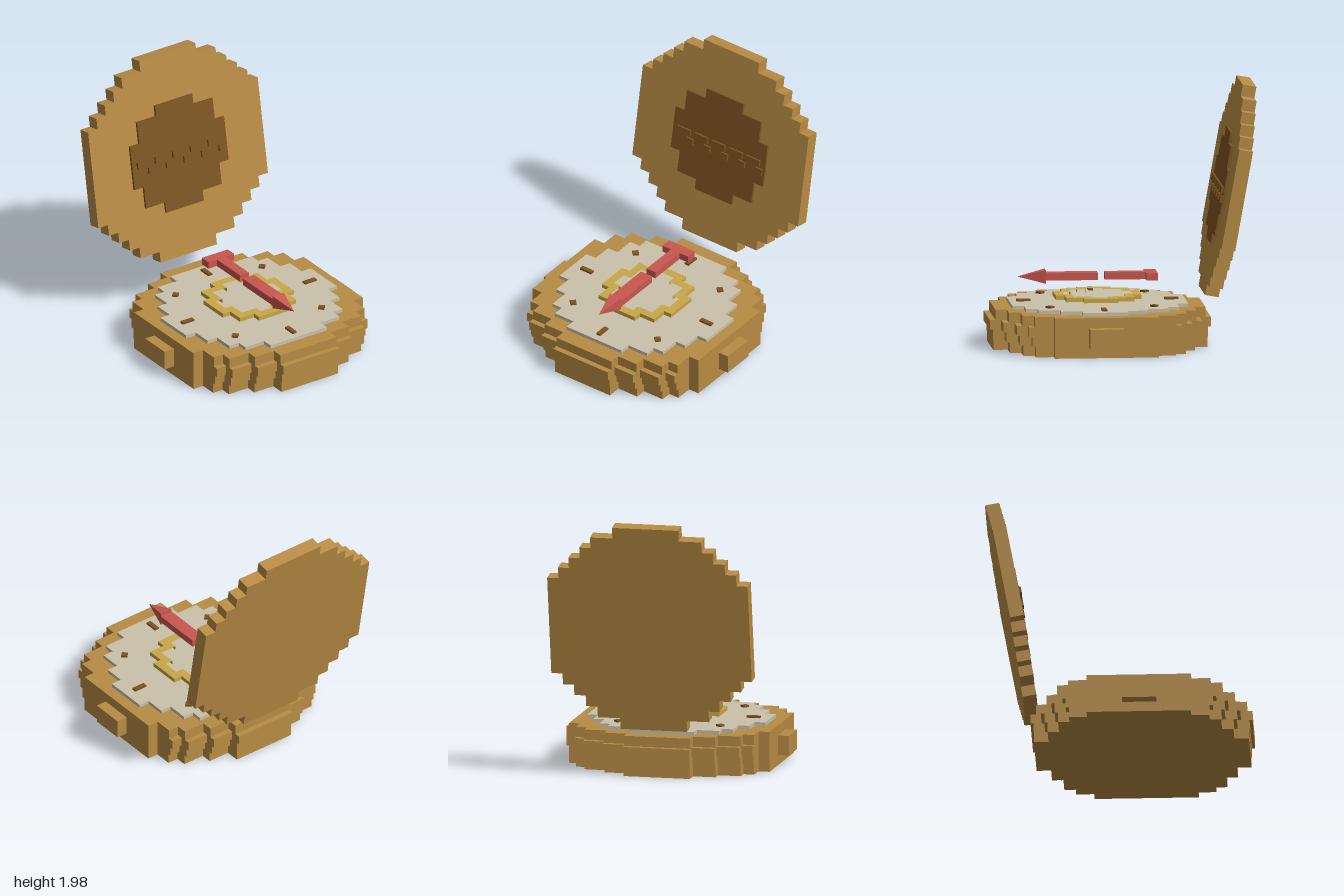
import * as THREE from 'three';

const mat = (name, color) => {
  const m = new THREE.MeshStandardMaterial({ color });
  m.name = name;
  return m;
};

// Stepped outline from [halfWidth, halfDepth] pairs, mirrored into all four quadrants
function steppedPoints(steps) {
  const q = [];
  steps.forEach(([w, d], i) => {
    q.push([w, d]);
    if (i < steps.length - 1) q.push([w, steps[i + 1][1]]);
  });
  const r = [...q].reverse();
  return [
    ...q,
    ...r.map(([x, y]) => [x, -y]),
    ...q.map(([x, y]) => [-x, -y]),
    ...r.map(([x, y]) => [-x, y]),
  ].map(([x, y]) => new THREE.Vector2(x, y));
}

// Upright slab of the stepped outline, thickness along z from 0
function slab(steps, depth, hole) {
  const shape = new THREE.Shape(steppedPoints(steps));
  if (hole) shape.holes.push(new THREE.Path(steppedPoints(hole)));
  return new THREE.ExtrudeGeometry(shape, { depth, bevelEnabled: false });
}

// Flat slab lying between two heights
const flatSlab = (steps, y0, y1, hole) =>
  slab(steps, y1 - y0, hole).rotateX(-Math.PI / 2).translate(0, y0, 0);

export function createModel() {
  const wood = mat('golden wood', 0xb88c44);
  const dark = mat('dark wood', 0x7d5320);
  const cream = mat('dial cream', 0xcac1aa);
  const gold = mat('ring gold', 0xc9a848);
  const red = mat('needle red', 0xc9574f);

  const model = new THREE.Group();
  model.name = 'compass';
  const add = (parent, name, geo, material, x = 0, y = 0, z = 0) => {
    const m = new THREE.Mesh(geo, material);
    m.name = name;
    m.position.set(x, y, z);
    parent.add(m);
    return m;
  };
  const box = (parent, name, material, w, h, d, x, y, z) =>
    add(parent, name, new THREE.BoxGeometry(w, h, d), material, x, y, z);

  // Case: stacked stepped layers, widest in the third layer
  const base = new THREE.Group();
  base.name = 'base';
  base.position.z = 0.167;
  model.add(base);
  const caseSteps = [[0.255, 0.83], [0.427, 0.745], [0.6, 0.66], [0.684, 0.575], [0.77, 0.39]];
  const layers = [
    [0, 0.08, 0.026, 0.05],
    [0.08, 0.153, 0.022, 0.025],
    [0.153, 0.226, 0, 0],
    [0.226, 0.303, 0.042, 0.042],
  ];
  for (const [y0, y1, endInset, inset] of layers) {
    const steps = caseSteps.map(([w, d], i) => [w, d - (i === 0 ? endInset : i === 4 ? 0 : inset)]);
    add(base, 'caseLayer', flatSlab(steps, y0, y1), wood);
  }
  for (const s of [-1, 1]) box(base, 'sideKnob', wood, 0.1, 0.148, 0.256, s * 0.804, 0.152, 0.005);

  // Dial face and floating ring
  const dialSteps = [[0.255, 0.66], [0.427, 0.575], [0.513, 0.49], [0.6, 0.327], [0.684, 0.17]];
  add(base, 'dial', flatSlab(dialSteps, 0.3, 0.33), cream);
  add(base, 'dialRing', flatSlab(
    [[0.128, 0.322], [0.256, 0.256], [0.322, 0.128]], 0.352, 0.384,
    [[0.064, 0.256], [0.194, 0.194], [0.256, 0.064]]), gold);

  // Direction marks
  for (const s of [-1, 1]) {
    box(base, 'longMark', dark, 0.036, 0.018, 0.104, 0, 0.336, s * 0.555);
    box(base, 'sideMark', dark, 0.104, 0.018, 0.036, s * 0.555, 0.336, 0);
    for (const t of [-1, 1])
      box(base, 'diagonalMark', dark, 0.046, 0.018, 0.046, s * 0.392, 0.336, t * 0.392)
        .rotation.y = Math.PI / 4;
  }

  // Needle: tail with crossbar, shaft and pyramid tip
  const needle = new THREE.Group();
  needle.name = 'needle';
  needle.position.y = 0.515;
  model.add(needle);
  box(needle, 'tailBar', red, 0.234, 0.055, 0.085, 0, 0, -0.235);
  box(needle, 'tailShaft', red, 0.08, 0.055, 0.305, 0, 0, -0.04);
  box(needle, 'frontShaft', red, 0.102, 0.055, 0.392, 0, 0, 0.363);
  const tip = new THREE.ConeGeometry(0.051 * Math.SQRT2, 0.21, 4).toNonIndexed();
  tip.computeVertexNormals();
  tip.rotateY(Math.PI / 4).rotateX(Math.PI / 2);
  add(needle, 'needleTip', tip, red, 0, 0, 0.662);

  // Open lid, leaning back, with inner plaque and a row of bars
  const lid = new THREE.Group();
  lid.name = 'lid';
  lid.position.set(0, 1.175, -0.811);
  lid.rotation.x = -0.177;
  model.add(lid);
  const lidSteps = [[0.255, 0.804], [0.427, 0.719], [0.513, 0.634], [0.6, 0.549], [0.684, 0.467], [0.77, 0.381]];
  add(lid, 'lidPanel', slab(lidSteps, 0.104), wood, 0, 0, -0.052);
  add(lid, 'lidPlaque', slab([[0.17, 0.426], [0.343, 0.343], [0.427, 0.172]], 0.02), dark, 0, 0, 0.05);
  for (let i = 0; i < 5; i++) {
    box(lid, 'longBar', dark, 0.128, 0.05, 0.02, -0.322 + i * 0.16, 0.01, 0.077);
    box(lid, 'shortBar', dark, 0.064, 0.05, 0.02, -0.26 + i * 0.16, -0.055, 0.077);
  }

  return model;
}
